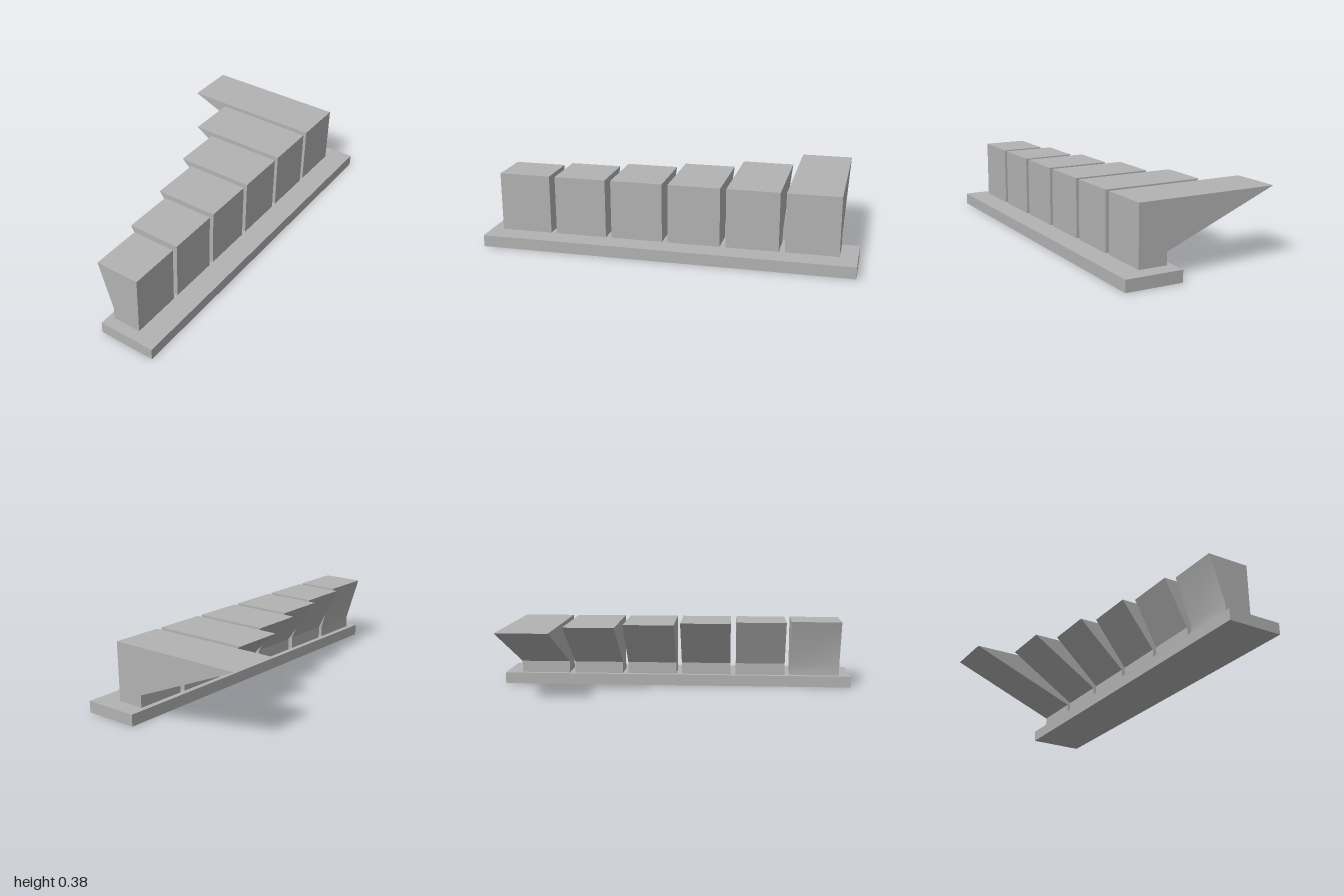
import * as THREE from 'three';
import { toCreasedNormals } from 'three/addons/utils/BufferGeometryUtils.js';

const BASE_H = 0.063, KNEE_Y = 0.129, TOP_Y = 0.383;
const FRONT_Z = 0.325, STEM_Z = 0.17;
const WIDTH = 0.281, PITCH = 0.3125, START_X = -0.9375;
// rear edge of each block's top: the overhang grows from right to left
const TIPS = [0.087, 0.04, -0.019, -0.099, -0.221, -0.449];

// block with a short stem and a sloping overhang behind it
function overhangBlock(tipZ, x) {
  const profile = new THREE.Shape([
    [STEM_Z, BASE_H], [FRONT_Z, BASE_H], [FRONT_Z, TOP_Y], [tipZ, TOP_Y], [STEM_Z, KNEE_Y],
  ].map(([z, y]) => new THREE.Vector2(z, y)));
  const g = new THREE.ExtrudeGeometry(profile, { depth: WIDTH, bevelEnabled: false });
  g.rotateY(-Math.PI / 2).translate(x + WIDTH, 0, 0);
  return toCreasedNormals(g, 0.4);
}

export function createModel() {
  const group = new THREE.Group();
  group.name = 'overhangGauge';
  const grey = new THREE.MeshStandardMaterial({ color: 0xb2b2b2 });
  grey.name = 'grey';

  // base plate
  const base = new THREE.Mesh(new THREE.BoxGeometry(2, BASE_H, 0.31), grey);
  base.position.set(0, BASE_H / 2, 0.295);
  base.name = 'basePlate';
  group.add(base);

  // row of overhang blocks
  TIPS.forEach((tip, i) => {
    const block = new THREE.Mesh(overhangBlock(tip, START_X + i * PITCH), grey);
    block.name = `overhangBlock${i + 1}`;
    group.add(block);
  });
  return group;
}
